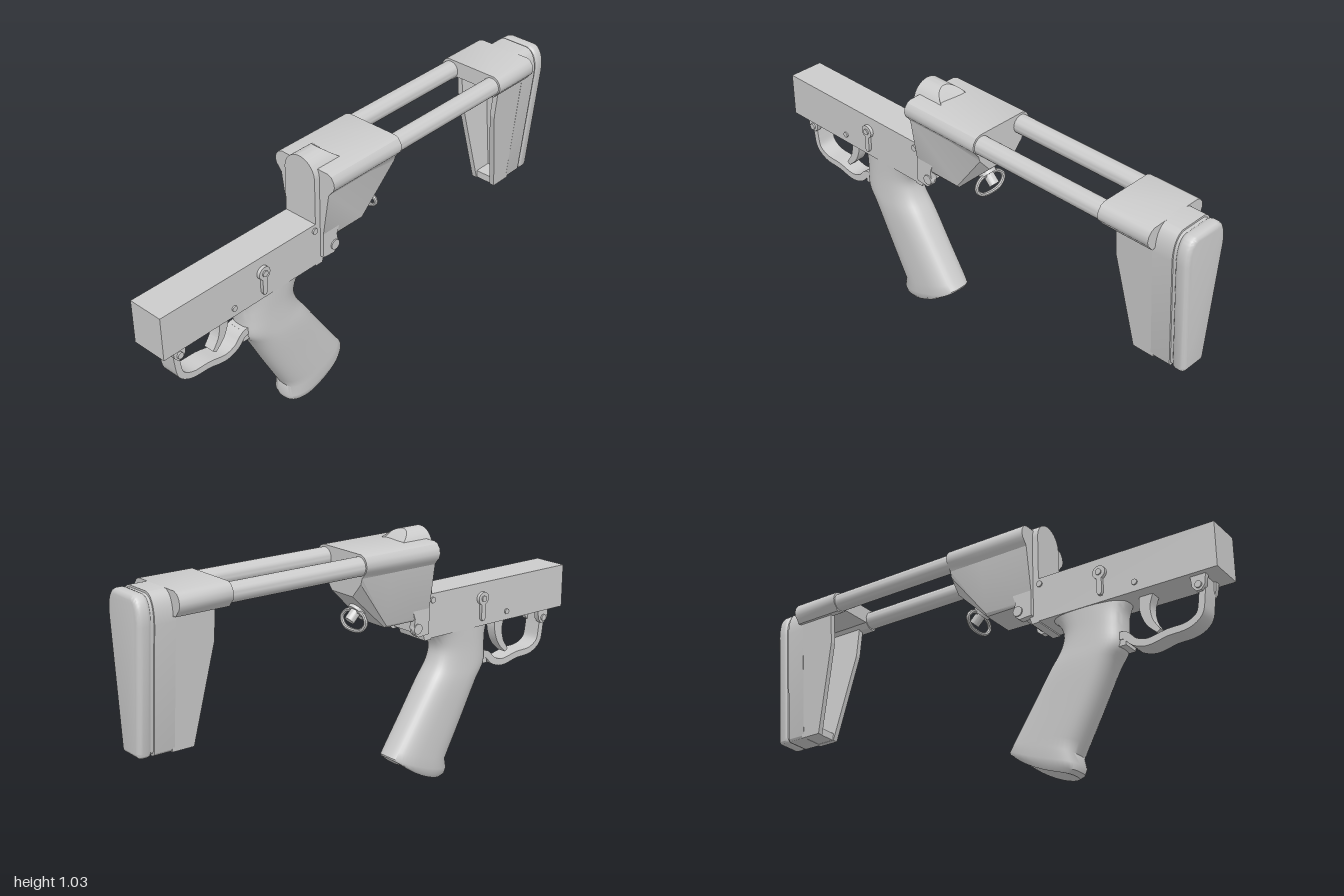
import * as THREE from 'three';
import { toCreasedNormals } from 'three/addons/utils/BufferGeometryUtils.js';

const V = (x, y, z) => new THREE.Vector3(x, y, z);

export function createModel() {
  const root = new THREE.Group();
  const mat = new THREE.MeshStandardMaterial({ color: 0xcccccc });
  const add = (name, geo, crease = 0.6) => {
    const mesh = new THREE.Mesh(toCreasedNormals(geo, crease), mat);
    mesh.name = name;
    root.add(mesh);
    return mesh;
  };
  const box = (name, w, h, d, x, y, z) =>
    add(name, new THREE.BoxGeometry(w, h, d).translate(x, y, z));
  // cylinder lying along x
  const pin = (name, r, len, x, y, z, n = 20) =>
    add(name, new THREE.CylinderGeometry(r, r, len, n).rotateZ(Math.PI / 2).translate(x, y, z));
  const shapeOf = (pts) => new THREE.Shape(pts.map((p) => new THREE.Vector2(...p)));

  // front outline (x, y) extruded from z0 to z1
  const prism = (shape, z0, z1, bevel = 0) =>
    new THREE.ExtrudeGeometry(shape, {
      depth: z1 - z0 - 2 * bevel, bevelEnabled: bevel > 0, bevelSize: bevel,
      bevelThickness: bevel, bevelOffset: -bevel, bevelSegments: 3, curveSegments: 16,
    }).translate(0, 0, z0 + bevel);

  // side outline (z, y) extruded across x, centred at x
  const slab = (pts, width, x = 0) =>
    new THREE.ExtrudeGeometry(shapeOf(pts), { depth: width, bevelEnabled: false })
      .translate(0, 0, -width / 2).rotateY(-Math.PI / 2).translate(x, 0, 0);

  // side-view strip following a smooth (z, y) path, thickness varying from t0 to t1
  const strip = (path, t0, t1, width) => {
    const curve = new THREE.CatmullRomCurve3(path.map(([z, y]) => V(z, y, 0)));
    const a = [], b = [];
    for (let i = 0; i <= 32; i++) {
      const p = curve.getPoint(i / 32), t = curve.getTangent(i / 32);
      const h = THREE.MathUtils.lerp(t0, t1, i / 32) / 2;
      a.push([p.x - t.y * h, p.y + t.x * h]);
      b.unshift([p.x + t.y * h, p.y - t.x * h]);
    }
    return slab([...a, ...b], width);
  };

  // skin over closed rings of equal length, capped, always facing outwards
  const loft = (rings) => {
    const n = rings[0].length, pos = [], idx = [];
    rings.forEach((r) => r.forEach((p) => pos.push(p.x, p.y, p.z)));
    for (let i = 0; i < rings.length - 1; i++)
      for (let j = 0; j < n; j++) {
        const a = i * n + j, b = i * n + (j + 1) % n;
        idx.push(a, b, b + n, a, b + n, a + n);
      }
    [0, rings.length - 1].forEach((k) => {
      const c = pos.length / 3, m = V(0, 0, 0);
      rings[k].forEach((p) => m.addScaledVector(p, 1 / n));
      pos.push(m.x, m.y, m.z);
      for (let j = 0; j < n; j++) {
        const a = k * n + j, b = k * n + (j + 1) % n;
        idx.push(...(k ? [c, a, b] : [c, b, a]));
      }
    });
    const at = (i) => V(pos[3 * i], pos[3 * i + 1], pos[3 * i + 2]);
    let vol = 0;
    for (let i = 0; i < idx.length; i += 3) vol += at(idx[i]).dot(at(idx[i + 1]).cross(at(idx[i + 2])));
    if (vol < 0) idx.reverse();
    const g = new THREE.BufferGeometry();
    g.setAttribute('position', new THREE.Float32BufferAttribute(pos, 3));
    g.setIndex(idx);
    return g;
  };

  // receiver bar and the round-topped upright behind it
  box('receiver', 0.144, 0.175, 0.74, 0, 0.6925, 0.63);
  const upright = new THREE.Shape();
  upright.moveTo(-0.072, 0.6);
  upright.lineTo(0.072, 0.6);
  upright.lineTo(0.072, 0.96);
  upright.absellipse(0, 0.96, 0.072, 0.073, 0, Math.PI);
  const uprightGeo = prism(upright, 0.14, 0.282);
  const up = uprightGeo.attributes.position;
  for (let i = 0; i < up.count; i++) // slope the back of the crown, keep the foot short
    if (up.getZ(i) < 0.2) {
      const y = up.getY(i);
      up.setZ(i, y > 0.99 ? 0.14 + (y - 0.99) * 1.33 : y < 0.65 ? 0.25 : 0.14);
    }
  add('rearUpright', uprightGeo);

  // rear housing: eared section with the rear of its underside cut away
  const ears = [[0.11, 0.995], [0.127, 0.988], [0.139, 0.972], [0.143, 0.953],
    [0.138, 0.935], [0.126, 0.922], [0.115, 0.908]];
  const housingRing = (z, yb, wb, yc, wc) => {
    const half = [...ears, [wc, yc], [wb, yb]];
    return [...half, ...half.map(([x, y]) => [-x, y]).reverse()].map(([x, y]) => V(x, y, z));
  };
  add('rearHousing', loft([
    housingRing(0.258, 0.69, 0.076, 0.7, 0.082),
    housingRing(0.05, 0.69, 0.072, 0.7, 0.082),
    housingRing(-0.092, 0.83, 0.06, 0.885, 0.108),
  ]), 0.5);

  // hinge lugs and bolt below the housing
  for (const s of [-1, 1]) {
    add('hingeLug', slab([[0.258, 0.75], [0.258, 0.63], [0.205, 0.626], [0.188, 0.64],
      [0.182, 0.665], [0.188, 0.7], [0.17, 0.75]], 0.026, s * 0.074));
    pin('hingeBolt', 0.02, 0.02, s * 0.082, 0.66, 0.2);
  }
  box('hingeBlock', 0.12, 0.07, 0.05, 0, 0.67, 0.235);

  // twin rods
  for (const s of [-1, 1])
    add('stockRod', new THREE.CylinderGeometry(0.036, 0.036, 0.66, 28)
      .rotateX(Math.PI / 2).translate(s * 0.1, 0.951, -0.38));

  // bracket gripping the rods
  const earRing = [...ears, [0.085, 0.912], [0.065, 0.93]];
  add('stockBracket', prism(shapeOf([...earRing, ...earRing.map(([x, y]) => [-x, y]).reverse()].reverse()),
    -0.87, -0.66));

  // butt: tapered back plate, rounded pad, hollow front with side walls
  const buttShape = (top, inset) => {
    const b = 0.056 - inset, t = 0.1 - inset, y0 = 0.42 + inset, s = new THREE.Shape();
    s.moveTo(-b + 0.015, y0);
    s.lineTo(b - 0.015, y0);
    s.quadraticCurveTo(b, y0, b + 0.002, y0 + 0.02);
    s.lineTo(t, 0.89);
    s.bezierCurveTo(t + 0.004, 0.96, t - 0.02, top, t - 0.05, top);
    s.lineTo(-t + 0.05, top);
    s.bezierCurveTo(-t + 0.02, top, -t - 0.004, 0.96, -t, 0.89);
    s.lineTo(-b - 0.002, y0 + 0.02);
    s.quadraticCurveTo(-b, y0, -b + 0.015, y0);
    return s;
  };
  add('buttPlate', prism(buttShape(0.995, 0), -0.94, -0.86));
  add('buttSeam', prism(buttShape(0.988, 0.006), -0.955, -0.93));
  add('buttPad', prism(buttShape(0.993, 0), -1, -0.946, 0.018));
  const wallRing = (s, y, zf) => {
    const w = 0.056 + (y - 0.42) * 0.0917;
    return [V(s * w, y, zf), V(s * w, y, -0.87), V(s * (w - 0.022), y, -0.87), V(s * (w - 0.022), y, zf)];
  };
  for (const s of [-1, 1])
    add('buttSideWall', loft([wallRing(s, 0.42, -0.782), wallRing(s, 0.79, -0.708), wallRing(s, 0.93, -0.708)]), 0.1);
  box('buttFloor', 0.1, 0.03, 0.085, 0, 0.436, -0.828);

  // grip: rounded sections between a front line (half width, y, z) and a back line
  const front = new THREE.CatmullRomCurve3([V(0.07, 0.61, 0.625), V(0.07, 0.565, 0.607), V(0.071, 0.51, 0.602),
    V(0.075, 0.44, 0.598), V(0.08, 0.385, 0.56), V(0.08, 0.23, 0.48), V(0.08, 0.075, 0.398)]);
  const back = new THREE.CatmullRomCurve3([V(0, 0.64, 0.24), V(0, 0.6, 0.325), V(0, 0.54, 0.358),
    V(0, 0.48, 0.345), V(0, 0.41, 0.3), V(0, 0.28, 0.215), V(0, 0.165, 0.138)]);
  const power = (v) => Math.sign(v) * Math.abs(v) ** 0.72;
  const gripRing = (f, b, sag = 0) => Array.from({ length: 40 }, (_, j) => {
    const a = j / 40 * Math.PI * 2, u = power(Math.cos(a));
    const p = f.clone().lerp(b, (1 - u) / 2);
    return V(f.x * power(Math.sin(a)), p.y - sag * (1 - u * u), p.z - sag * 0.4 * (1 - u * u));
  });
  const gripRings = Array.from({ length: 25 }, (_, i) => gripRing(front.getPoint(i / 24), back.getPoint(i / 24)));
  gripRings.push(gripRing(V(0.08, 0.035, 0.408), V(0, 0.14, 0.12), 0.01),
    gripRing(V(0.076, 0.012, 0.4), V(0, 0.132, 0.122), 0.015),
    gripRing(V(0.066, 0.002, 0.38), V(0, 0.122, 0.138), 0.018));
  add('grip', loft(gripRings), 0.7);

  // trigger and guard
  add('triggerGuard', strip([[0.925, 0.605], [0.918, 0.52], [0.905, 0.465], [0.86, 0.436],
    [0.78, 0.43], [0.7, 0.416], [0.65, 0.432], [0.615, 0.465], [0.58, 0.47]], 0.024, 0.03, 0.076));
  box('guardRearTab', 0.07, 0.05, 0.05, 0, 0.455, 0.592);
  for (const s of [-1, 1]) {
    add('guardLug', slab([[0.945, 0.61], [0.94, 0.565], [0.925, 0.546], [0.905, 0.546],
      [0.89, 0.565], [0.885, 0.61]], 0.022, s * 0.04));
    pin('guardPin', 0.013, 0.012, s * 0.052, 0.567, 0.916, 14);
  }
  add('trigger', strip([[0.7, 0.62], [0.69, 0.56], [0.705, 0.5], [0.74, 0.455]], 0.055, 0.018, 0.045));

  // selector levers and pins on both sides
  for (const s of [-1, 1]) {
    pin('selectorHub', 0.026, 0.02, s * 0.075, 0.718, 0.545);
    pin('selectorScrew', 0.012, 0.008, s * 0.086, 0.718, 0.545, 14);
    add('selectorLever', slab([[0.555, 0.715], [0.556, 0.64], [0.55, 0.628], [0.54, 0.628],
      [0.534, 0.64], [0.535, 0.715]], 0.014, s * 0.078));
    pin('triggerPin', 0.011, 0.01, s * 0.073, 0.64, 0.682, 14);
    pin('rearPin', 0.012, 0.01, s * 0.073, 0.755, 0.287, 14);
  }

  // sling swivel: stud square to the sloped underside, carrying an oval loop
  const stud = (name, r, len, out) => {
    const m = add(name, new THREE.CylinderGeometry(r, r, len, 20));
    m.position.set(0, 0.765 - out, -0.015 - out);
    m.rotation.x = Math.PI / 4;
  };
  stud('swivelBase', 0.034, 0.03, 0.004);
  stud('swivelStud', 0.02, 0.07, 0.02);
  const loopPath = new THREE.CatmullRomCurve3([[-0.045, 0.03], [0.045, 0.03], [0.07, 0.0], [0.045, -0.03],
    [-0.045, -0.03], [-0.07, 0]].map(([x, y]) => V(x, y, 0)), true);
  const loop = add('swivelLoop', new THREE.TubeGeometry(loopPath, 48, 0.008, 8, true));
  loop.position.set(0, 0.719, -0.038);
  loop.rotation.x = 0.2;

  return root;
}
